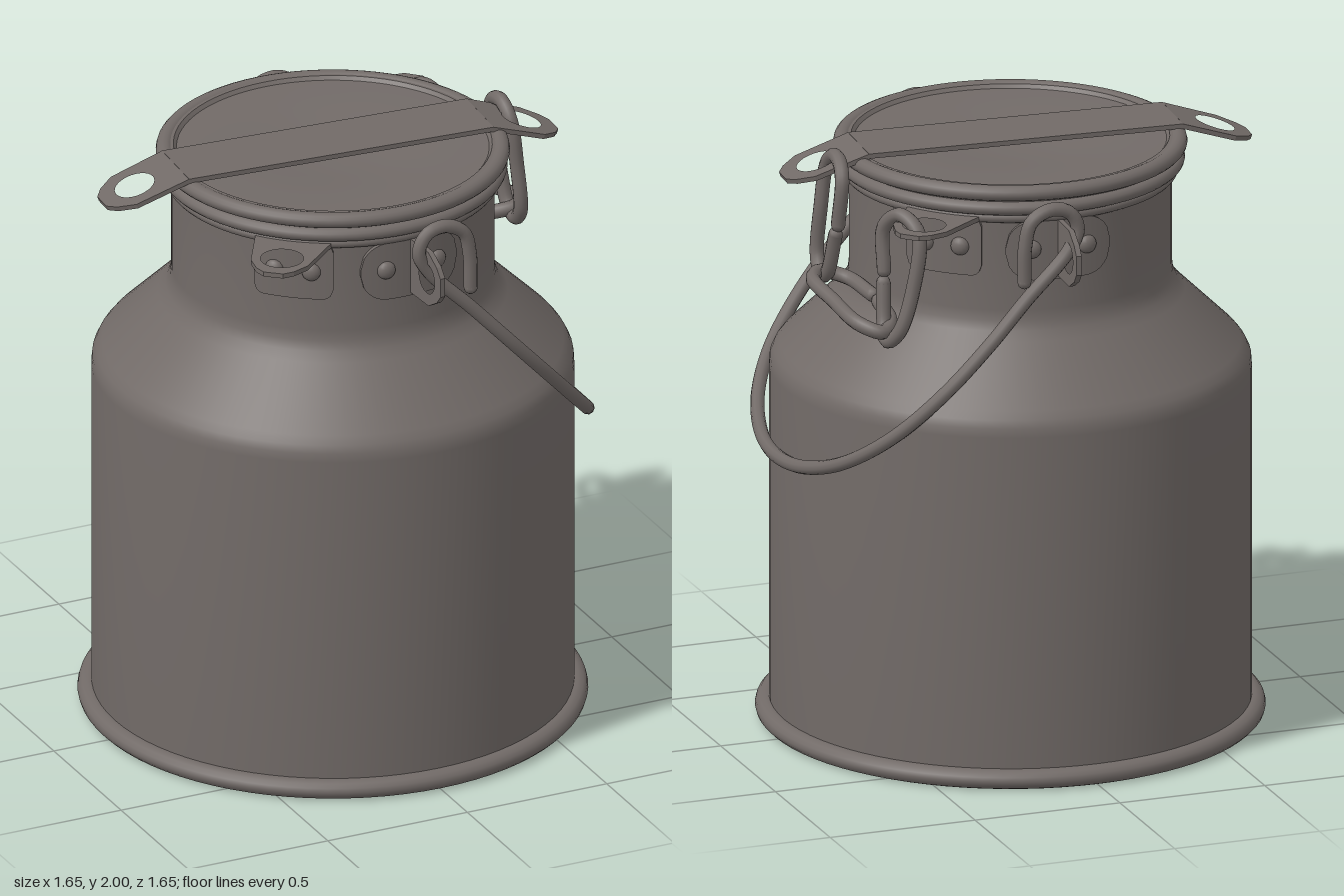
import * as THREE from 'three';
import { toCreasedNormals } from 'three/addons/utils/BufferGeometryUtils.js';

const metal = new THREE.MeshStandardMaterial({ color: 0x716a67 });
metal.name = 'dull grey metal';

const NECK = 0.522;

function add(parent, name, geometry) {
  const mesh = new THREE.Mesh(geometry, metal);
  mesh.name = name;
  parent.add(mesh);
  return mesh;
}

function lathe(points) {
  const profile = points.map(([r, y]) => new THREE.Vector2(r, y));
  return toCreasedNormals(new THREE.LatheGeometry(profile, 80), 0.7);
}

function bead(parent, name, radius, y, tube, squash = 1) {
  const mesh = add(parent, name, new THREE.TorusGeometry(radius, tube, 14, 80).rotateX(Math.PI / 2));
  mesh.scale.y = squash;
  mesh.position.y = y;
}

// Group whose local +x points along (dx, dz)
function outward(parent, name, dx, dz) {
  const group = new THREE.Group();
  group.name = name;
  group.rotation.y = Math.atan2(-dz, dx);
  parent.add(group);
  return group;
}

// Tapered tab with clipped tip and a round hole, lying in the xy plane
function tab(length, w0, w1, holeX, holeR, depth) {
  const half = [[0, w0 / 2], [length - 0.08, w1 / 2], [length - 0.025, w1 * 0.33], [length, w1 * 0.17]];
  const outline = [...half, ...half.map(([x, y]) => [x, -y]).reverse()];
  const shape = new THREE.Shape(outline.map(([x, y]) => new THREE.Vector2(x, y)));
  shape.holes.push(new THREE.Path().absarc(holeX, 0, holeR, 0, Math.PI * 2, true));
  return new THREE.ExtrudeGeometry(shape, { depth, bevelEnabled: false, curveSegments: 16 })
    .translate(0, 0, -depth / 2);
}

const flatTab = (...args) => tab(...args).rotateX(-Math.PI / 2);

// Round-cornered plate wrapped around the neck, centred on local +x
function neckPlate(w, h, corner) {
  const t = 0.03;
  const geo = new THREE.BoxGeometry(w, h, t, 32, 2, 1);
  const p = geo.attributes.position;
  for (let i = 0; i < p.count; i++) {
    const x = p.getX(i);
    const k = Math.max(0, corner - (w / 2 - Math.abs(x)));
    const cut = corner - Math.sqrt(Math.max(0, corner * corner - k * k));
    const a = x / NECK, r = NECK + p.getZ(i);
    p.setXYZ(i, r * Math.sin(a), p.getY(i) * (1 - 2 * cut / h), r * Math.cos(a));
  }
  geo.computeVertexNormals();
  return geo.rotateY(Math.PI / 2);
}

function rivets(parent, offset, y) {
  for (const s of [-1, 1]) {
    const a = s * offset / NECK, r = NECK + 0.014;
    const rivet = add(parent, 'rivet', new THREE.SphereGeometry(0.031, 16, 10));
    rivet.scale.x = 0.7;
    rivet.rotation.y = -a;
    rivet.position.set(r * Math.cos(a), y, r * Math.sin(a));
  }
}

// Bent round wire with rounded ends
function wire(parent, name, points, radius, segments) {
  const group = new THREE.Group();
  group.name = name;
  parent.add(group);
  const pts = points.map(p => new THREE.Vector3(...p));
  const curve = new THREE.CatmullRomCurve3(pts, false, 'centripetal');
  add(group, name + 'Wire', new THREE.TubeGeometry(curve, segments, radius, 10));
  for (const end of [pts[0], pts[pts.length - 1]]) {
    add(group, name + 'End', new THREE.SphereGeometry(radius, 10, 8)).position.copy(end);
  }
}

export function createModel() {
  const model = new THREE.Group();
  model.name = 'milkCan';

  // Can body with recessed underside, shoulder and neck
  add(model, 'body', lathe([
    [0, 0.15], [0.6, 0.15], [0.67, 0.14], [0.71, 0.11], [0.73, 0.07], [0.74, 0.01],
    [0.78, 0.01], [0.78, 1.19], [0.777, 1.22], [0.765, 1.245], [0.745, 1.27],
    [0.565, 1.445], [0.54, 1.475], [0.526, 1.505], [NECK, 1.54], [NECK, 1.87],
  ]));
  bead(model, 'baseRing', 0.785, 0.033, 0.04, 0.82);
  bead(model, 'neckCollar', 0.525, 1.857, 0.018);
  bead(model, 'neckRim', 0.536, 1.892, 0.028, 0.85);

  // Dished lid
  add(model, 'lid', lathe([
    [0.53, 1.9], [0.545, 1.92], [0.545, 1.965], [0.515, 1.965], [0.505, 1.953],
    [0.4, 1.952], [0.28, 1.947], [0.2, 1.937], [0.1, 1.931], [0, 1.93],
  ]));
  bead(model, 'lidRim', 0.543, 1.945, 0.029, 0.88);

  // Strap across the lid, both ends bent down
  const strap = outward(model, 'lidStrap', 1, 0.066);
  strap.position.set(-0.018, 1.976, 0);
  add(strap, 'strapBar', new THREE.BoxGeometry(1.06, 0.016, 0.235));
  for (const s of [-1, 1]) {
    const end = add(strap, 'strapEnd', flatTab(0.27, 0.235, 0.225, 0.15, 0.067, 0.016));
    end.position.x = s * 0.528;
    end.rotation.set(0, s < 0 ? Math.PI : 0, -0.32, 'YXZ');
  }

  // Locking brackets riveted to the neck
  for (const [dx, dz] of [[-0.64, 0.768], [0.707, -0.707]]) {
    const bracket = outward(model, 'lockBracket', dx, dz);
    add(bracket, 'bracketPlate', neckPlate(0.26, 0.2, 0.035)).position.y = 1.758;
    add(bracket, 'bracketTab', flatTab(0.285, 0.26, 0.19, 0.17, 0.07, 0.016)).position.set(0.505, 1.853, 0);
    rivets(bracket, 0.06, 1.755);
  }

  // Handle ears
  for (const s of [-1, 1]) {
    const ear = outward(model, 'handleEar', 0.055, s);
    add(ear, 'earPlate', neckPlate(0.35, 0.2, 0.09)).position.y = 1.745;
    add(ear, 'earEye', tab(0.235, 0.19, 0.19, 0.145, 0.052, 0.018)).position.set(0.5, 1.75, 0);
    rivets(ear, 0.092, 1.75);
  }

  // Swinging wire handle hooked through both ears
  const hook = [[0.19, 1.68], [0.187, 1.8], [0.165, 1.88], [0.1, 1.915], [0.035, 1.9], [0.005, 1.84], [0.04, 1.765]];
  const sweep = [
    [1.62, 0.65], [1.45, 0.665], [1.3, 0.635], [1.15, 0.545], [1.045, 0.4], [0.98, 0.21],
    [0.96, 0.03], [0.98, -0.18], [1.05, -0.38], [1.17, -0.53], [1.32, -0.61], [1.48, -0.635], [1.62, -0.63],
  ];
  wire(model, 'handle', [
    ...hook.map(([x, y]) => [x, y, 0.63]),
    ...sweep.map(([y, z]) => [0.04 + (1.77 - y) * 0.938, y, z]),
    ...hook.map(([x, y]) => [x, y, -0.63]).reverse(),
  ], 0.023, 220);

  // Open chain links joining the strap to the rear bracket
  wire(model, 'strapLink', [
    [0.64, 1.77, -0.12], [0.63, 1.92, -0.13], [0.62, 1.968, -0.08], [0.62, 1.976, -0.03], [0.625, 1.93, 0.025],
    [0.64, 1.78, 0.04], [0.65, 1.62, 0.048], [0.655, 1.568, 0], [0.655, 1.59, -0.06], [0.645, 1.735, -0.11],
  ], 0.024, 70);
  wire(model, 'middleLink', [
    [0.55, 1.54, -0.25], [0.565, 1.52, -0.4], [0.62, 1.51, -0.47], [0.68, 1.53, -0.42], [0.705, 1.56, -0.25],
    [0.715, 1.585, -0.09], [0.67, 1.59, -0.035], [0.59, 1.57, -0.07], [0.555, 1.55, -0.21],
  ], 0.024, 70);
  wire(model, 'bracketLink', [
    [0.58, 1.69, -0.38], [0.575, 1.83, -0.365], [0.54, 1.885, -0.42], [0.505, 1.84, -0.495], [0.53, 1.65, -0.51],
    [0.575, 1.51, -0.5], [0.6, 1.475, -0.46], [0.595, 1.52, -0.42], [0.585, 1.65, -0.388],
  ], 0.024, 70);

  return model;
}
